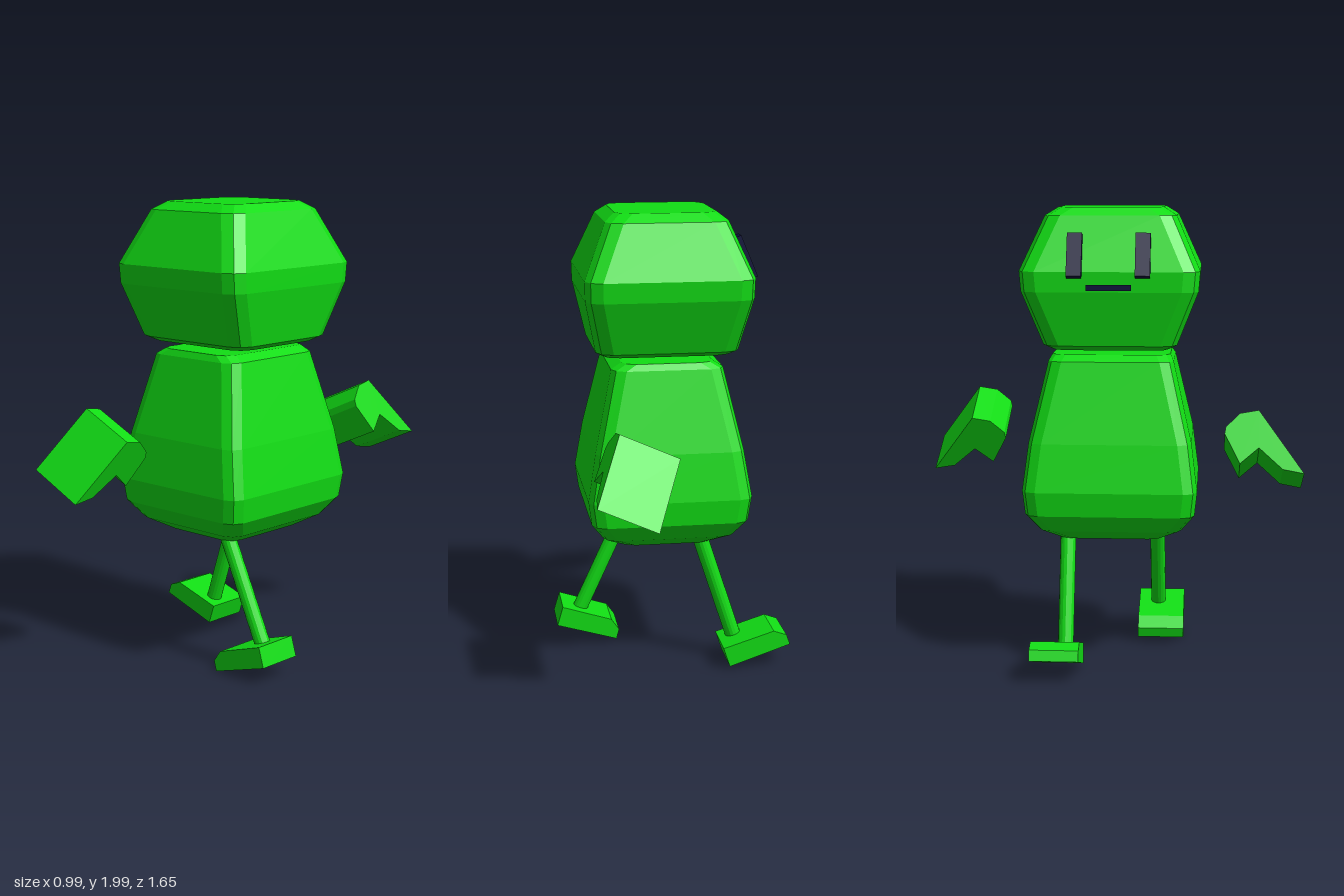
import * as THREE from 'three';

const green = new THREE.MeshStandardMaterial({ color: 0x11dd14, flatShading: true });
const navy = new THREE.MeshStandardMaterial({ color: 0x0a0f3c, flatShading: true });
const CX = 0.035; // x of the head and body axis

function add(parent, name, geometry, material = green) {
  const mesh = new THREE.Mesh(geometry, material);
  mesh.name = name;
  parent.add(mesh);
  return mesh;
}

// Stack of rounded rectangles; each section is [y, half width, half depth]
function loft(sections, r, steps = 2) {
  const pos = [], index = [];
  const n = 4 * (steps + 1);
  for (const [y, hx, hz] of sections) {
    for (let c = 0; c < 4; c++) {
      const sx = c === 0 || c === 3 ? 1 : -1, sz = c < 2 ? 1 : -1;
      for (let s = 0; s <= steps; s++) {
        const a = (c + s / steps) * Math.PI / 2;
        pos.push(CX + sx * (hx - r) + r * Math.cos(a), y, sz * (hz - r) + r * Math.sin(a));
      }
    }
  }
  for (let i = 0; i < sections.length - 1; i++) {
    for (let k = 0; k < n; k++) {
      const a = i * n + k, b = i * n + (k + 1) % n;
      index.push(a, a + n, b, b, a + n, b + n);
    }
  }
  const top = (sections.length - 1) * n;
  for (let k = 1; k < n - 1; k++) {
    index.push(0, k, k + 1, top, top + k + 1, top + k);
  }
  const g = new THREE.BufferGeometry();
  g.setAttribute('position', new THREE.Float32BufferAttribute(pos, 3));
  g.setIndex(index);
  g.computeVertexNormals();
  return g;
}

function prism(points, depth) {
  const shape = new THREE.Shape(points.map(([x, y]) => new THREE.Vector2(x, y)));
  return new THREE.ExtrudeGeometry(shape, { depth, bevelEnabled: false });
}

function rod(from, to, radius) {
  const a = new THREE.Vector3(...from), b = new THREE.Vector3(...to);
  const dir = b.clone().sub(a);
  const g = new THREE.CylinderGeometry(radius, radius, dir.length(), 16);
  g.applyQuaternion(new THREE.Quaternion().setFromUnitVectors(new THREE.Vector3(0, 1, 0), dir.normalize()));
  const mid = a.add(b).multiplyScalar(0.5);
  return g.translate(mid.x, mid.y, mid.z);
}

export function createModel() {
  const model = new THREE.Group();
  model.name = 'walkingFigure';

  // Head and body
  add(model, 'head', loft([
    [1.4, 0.275, 0.25], [1.42, 0.305, 0.285], [1.65, 0.355, 0.375],
    [1.735, 0.357, 0.382], [1.965, 0.26, 0.28], [2.0, 0.215, 0.225],
  ], 0.07));
  add(model, 'body', loft([
    [0.565, 0.2, 0.225], [0.615, 0.285, 0.31], [0.69, 0.338, 0.365], [0.795, 0.352, 0.376],
    [1.0, 0.318, 0.35], [1.345, 0.24, 0.27], [1.372, 0.195, 0.255],
  ], 0.06));

  // Face, on the -x side
  for (const z of [0.143, -0.143]) {
    const eye = add(model, 'eye', new THREE.BoxGeometry(0.03, 0.19, 0.063), navy);
    eye.position.set(-0.309, 1.803, z);
    eye.rotation.z = -0.4;
  }
  add(model, 'mouth', new THREE.BoxGeometry(0.03, 0.025, 0.19), navy).position.set(-0.312, 1.67, 0);

  // Bent arms, the second turned half a circle around the body axis
  const armProfile = [
    [0.635, 0], [0.555, -0.015], [0.495, -0.075], [0.49, -0.105],
    [0.555, -0.235], [0.635, -0.165], [0.735, -0.258], [0.825, -0.275],
  ];
  const tilt = new THREE.Matrix4().makeBasis(
    new THREE.Vector3(0, 0, 1),
    new THREE.Vector3(0.41, 0.912, 0),
    new THREE.Vector3(-0.912, 0.41, 0),
  );
  const armGeometry = prism(armProfile, 0.27).applyMatrix4(tilt).translate(0.026 - CX, 1.037, 0);
  add(model, 'leftArm', armGeometry).position.set(CX, 0, 0);
  const rightArm = add(model, 'rightArm', armGeometry);
  rightArm.position.set(CX, 0.022, 0);
  rightArm.rotation.y = Math.PI;

  // Legs in mid stride, and tilted feet with bevelled toes
  const footGeometry = prism([
    [0, 0], [0, 0.09], [-0.234, 0.085], [-0.282, 0.047], [-0.283, 0],
  ], 0.21).translate(0, 0, -0.105);
  const strides = [
    { side: 'left', hip: [0.16, 0.62, 0.192], ankle: [0.39, 0.125, 0.192], heel: [0.496, 0.087, 0.208], angle: 0.287 },
    { side: 'right', hip: [-0.1, 0.62, -0.19], ankle: [-0.27, 0.1, -0.19], heel: [-0.227, 0.018, -0.222], angle: -0.323 },
  ];
  for (const { side, hip, ankle, heel, angle } of strides) {
    add(model, side + 'Leg', rod(hip, ankle, 0.034));
    const foot = add(model, side + 'Foot', footGeometry);
    foot.position.set(...heel);
    foot.rotation.z = angle;
  }
  return model;
}
